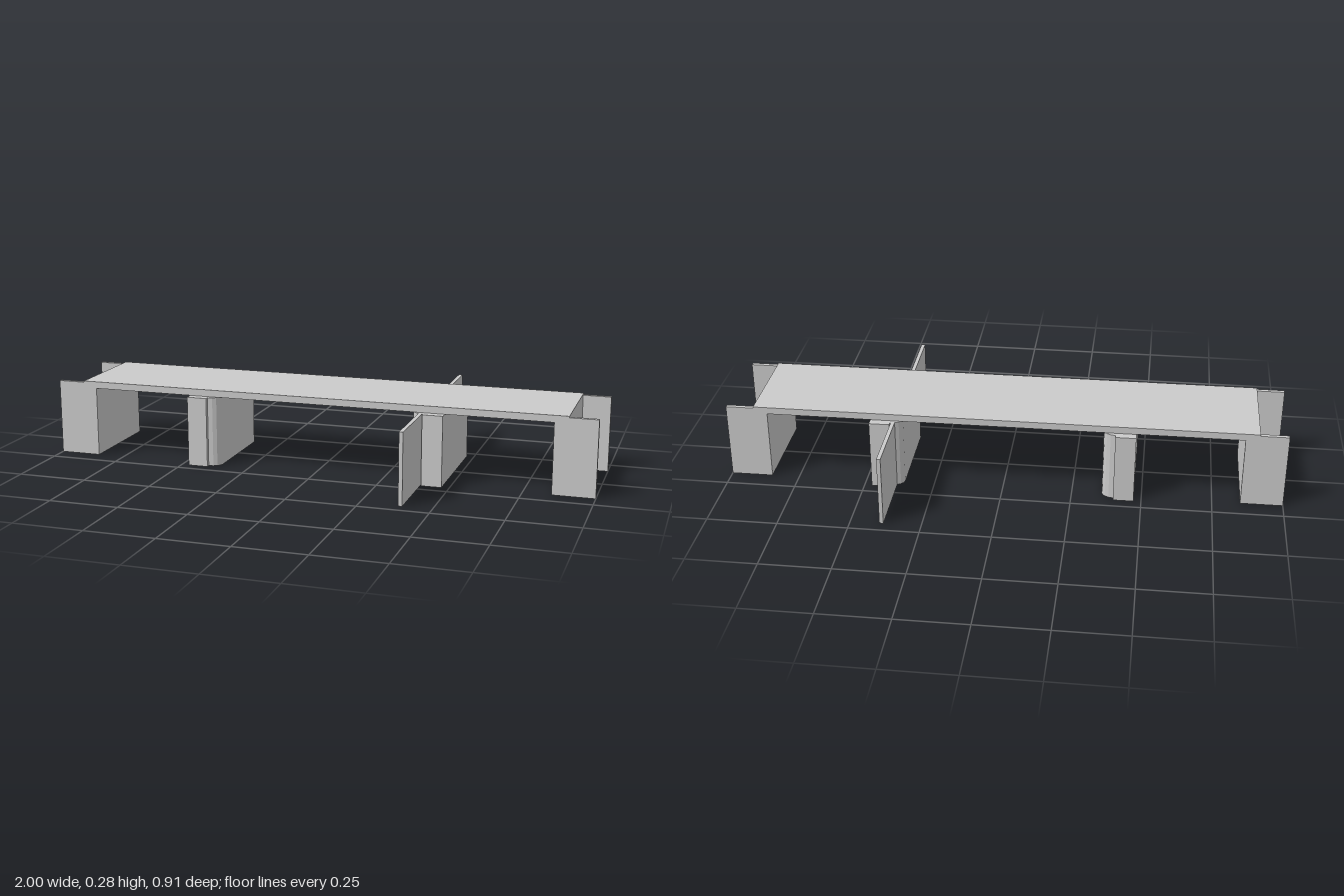
import * as THREE from 'three';

const material = new THREE.MeshStandardMaterial({ color: 0xcccccc, flatShading: true });

const ROOF_BOTTOM = 0.255;

function addMesh(parent, name, geometry) {
  const mesh = new THREE.Mesh(geometry, material);
  mesh.name = name;
  parent.add(mesh);
  return mesh;
}

// Box given by its minimum and maximum corners
function addBox(parent, name, [x0, y0, z0], [x1, y1, z1]) {
  const mesh = addMesh(parent, name, new THREE.BoxGeometry(x1 - x0, y1 - y0, z1 - z0));
  mesh.position.set((x0 + x1) / 2, (y0 + y1) / 2, (z0 + z1) / 2);
}

// Upright prism: half a plan outline [x, z], mirrored front to back, x scaled by side
function prism(half, side, height) {
  const outline = [...half, ...half.map(([x, z]) => [x, -z]).reverse()];
  const shape = new THREE.Shape(outline.map(([x, z]) => new THREE.Vector2(x * side, z)));
  const geometry = new THREE.ExtrudeGeometry(shape, { depth: height, bevelEnabled: false });
  return geometry.rotateX(-Math.PI / 2);
}

export function createModel() {
  const model = new THREE.Group();
  model.name = 'slabOnPiers';

  // Long flat deck
  addBox(model, 'deck', [-0.9, ROOF_BOTTOM, -0.18], [0.9, 0.28, 0.18]);

  // H-shaped end supports: a cross wall between two flange plates
  const endPlan = [[0.85, 0.18], [1, 0.18], [1, 0.165], [0.9, 0.165]];
  // the inner face is flush with the flange ends

  // Thick piers with a stepped, rounded inner corner
  const pierPlan = [
    [0.358, 0.165], [0.361, 0.176], [0.37, 0.186], [0.383, 0.193], [0.4, 0.196],
    [0.4, 0.21], [0.473, 0.21],
  ];

  for (const side of [-1, 1]) {
    addMesh(model, side > 0 ? 'leftEndSupport' : 'rightEndSupport', prism(endPlan, side, 0.275));
    addMesh(model, side > 0 ? 'leftPier' : 'rightPier', prism(pierPlan, side, ROOF_BOTTOM));
  }

  // Thin fins reaching out of the left pier, front and back
  for (const [name, z0, z1] of [['frontFin', 0.18, 0.457], ['backFin', -0.457, -0.18]]) {
    addBox(model, name, [0.383, 0, z0], [0.397, ROOF_BOTTOM, z1]);
  }

  return model;
}
